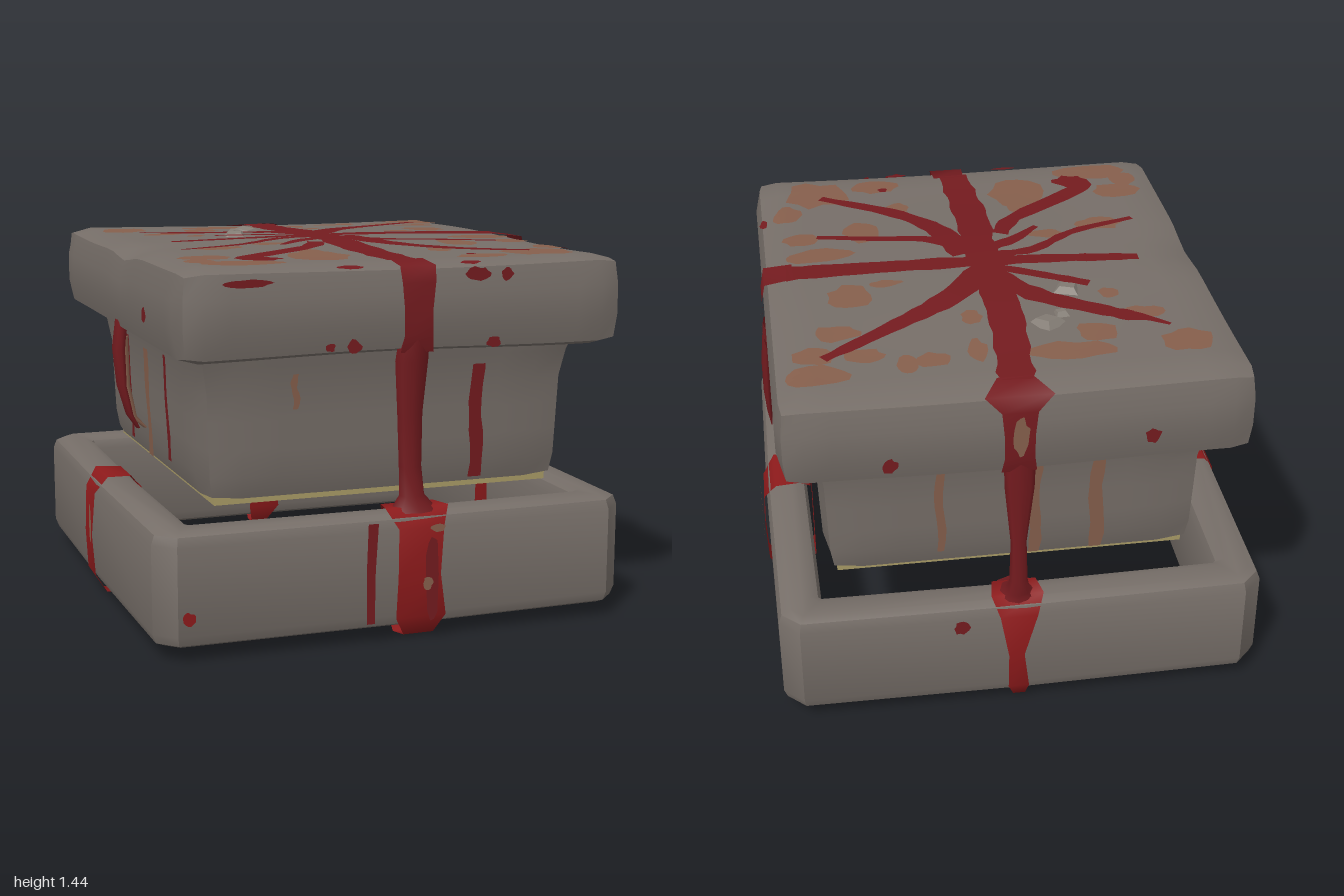
import * as THREE from 'three';
import { mergeVertices, toCreasedNormals } from 'three/addons/utils/BufferGeometryUtils.js';

const mat = (name, color, side = THREE.FrontSide) => {
  const m = new THREE.MeshStandardMaterial({ color, side });
  m.name = name;
  return m;
};

export function createModel() {
  const root = new THREE.Group();
  root.name = 'stoneShrine';
  const stone = mat('grey stone', 0x766e68);
  const chip = mat('pale chipped stone', 0x857e76, THREE.DoubleSide);
  const red = mat('dark red', 0x741b1f, THREE.DoubleSide);
  const bright = mat('bright red', 0x8d1a1b, THREE.DoubleSide);
  const rust = mat('rust', 0x865f4c, THREE.DoubleSide);
  const olive = mat('olive underside', 0xa89a66);

  let seed = 7;
  const rnd = () => (seed = (seed * 16807) % 2147483647) / 2147483647;
  const add = (name, geo, material) => {
    const m = new THREE.Mesh(geo, material);
    m.name = name;
    root.add(m);
    return m;
  };

  // Box with softened edges, then bent by a rule
  function softBlock(size, centre, seg, r, bend) {
    let g = new THREE.BoxGeometry(...size, ...seg);
    g.deleteAttribute('uv');
    g.deleteAttribute('normal');
    g = mergeVertices(g);
    const p = g.attributes.position, v = new THREE.Vector3(), c = new THREE.Vector3();
    const inner = new THREE.Vector3(...size).multiplyScalar(0.5).subScalar(r);
    for (let i = 0; i < p.count; i++) {
      v.fromBufferAttribute(p, i);
      c.copy(v).clamp(inner.clone().negate(), inner);
      v.sub(c);
      if (v.length() > 0) v.setLength(r);
      v.add(c).add(new THREE.Vector3(...centre));
      bend(v);
      p.setXYZ(i, v.x, v.y, v.z);
    }
    return toCreasedNormals(g, 0.8);
  }

  // Worn surface of the lid
  const wear = (x, z) => 0.007 * Math.sin(3 * x + 1) * Math.cos(2.5 * z)
    + 0.006 * Math.cos(4 * z + x)
    - 0.03 * Math.exp(-((x + 0.85) ** 2 + (z - 0.1) ** 2) / 0.02);
  const topY = (x, z) => 1.42 + wear(x, z)
    - 0.24 * Math.max(0, Math.abs(x - 0.025) - 0.775, Math.abs(z) - 0.885);
  add('lid', softBlock([1.74, 0.34, 1.96], [0.025, 1.245, 0], [18, 3, 20], 0.07, v => {
    const t = (v.y - 1.075) / 0.34;
    v.y += wear(v.x, v.z) * t + 0.006 * Math.sin(4 * v.x + 2 * v.z) * (1 - t);
  }), stone);

  // Middle block, widening a little upwards
  add('middleBlock', softBlock([1.43, 0.62, 1.53], [0.02, 0.83, 0.015], [10, 6, 10], 0.07, v => {
    const k = 1 + 0.03 * (v.y - 0.52) / 0.58 + 0.08 * Math.max(0, (v.y - 1.0) / 0.14);
    v.x = 0.02 + (v.x - 0.02) * k;
    v.z = 0.015 + (v.z - 0.015) * k;
  }), stone);
  const under = add('blockUnderside', new THREE.BoxGeometry(1.35, 0.03, 1.45), olive);
  under.position.set(0.02, 0.531, 0.015);

  // Open base ring
  const outline = (s, w, d, c) => {
    const pts = [[w - c, -d], [w, -d + c], [w + 0.01, 0], [w, d - c], [w - c, d], [0, d + 0.01],
      [-w + c, d], [-w, d - c], [-w - 0.01, 0], [-w, -d + c], [-w + c, -d], [0, -d - 0.01]];
    return s.setFromPoints(pts.map(q => new THREE.Vector2(...q)));
  };
  const ringShape = outline(new THREE.Shape(), 0.89, 0.925, 0.05);
  ringShape.holes.push(outline(new THREE.Path(), 0.81, 0.845, 0.03));
  const ringGeo = new THREE.ExtrudeGeometry(ringShape,
    { depth: 0.33, bevelThickness: 0.05, bevelSize: 0.045, bevelSegments: 2 });
  ringGeo.rotateX(-Math.PI / 2).translate(0, 0.1, 0);
  add('baseRing', toCreasedNormals(ringGeo, 0.7), stone);

  // Sides: offset along the face, height, distance outwards
  const sides = {
    front: (o, y, d) => new THREE.Vector3(o, y, d),
    left: (o, y, d) => new THREE.Vector3(d, y, -o),
    back: (o, y, d) => new THREE.Vector3(-o, y, -d),
    right: (o, y, d) => new THREE.Vector3(-d, y, o),
  };
  const lidOut = { front: 0.98, left: 0.895, back: 0.98, right: 0.845 };
  const ringOut = { front: 0.98, left: 0.945, back: 0.98, right: 0.945 };
  const blockOut = { front: 0.78, left: 0.735, back: 0.75, right: 0.695 };

  function gridGeo(rows, closed) {
    const n = rows[0].length, pos = [], idx = [];
    rows.forEach(r => r.forEach(p => pos.push(p.x, p.y, p.z)));
    for (let i = 0; i < rows.length - 1; i++)
      for (let j = 0; j < (closed ? n : n - 1); j++) {
        const a = i * n + j, b = i * n + (j + 1) % n;
        idx.push(a, a + n, b, b, a + n, b + n);
      }
    const g = new THREE.BufferGeometry();
    g.setAttribute('position', new THREE.Float32BufferAttribute(pos, 3));
    g.setIndex(idx);
    g.computeVertexNormals();
    return g;
  }

  // Stain running over a side: rows of [offset, y, out, width]
  const sideStain = (name, side, pts, material) => add(name, gridGeo(pts.map(([o, y, d, w]) =>
    [-0.5, 0.5].map(k => sides[side](o + k * w, y, d)))), material);

  // Ragged streak painted on the lid through [x, z] points
  function topStreak(pts, w0, w1) {
    const curve = new THREE.CatmullRomCurve3(pts.map(([x, z]) => new THREE.Vector3(x, 0, z)));
    const n = Math.max(8, Math.round(curve.getLength() / 0.05)), rows = [];
    for (let i = 0; i <= n; i++) {
      const p = curve.getPoint(i / n), t = curve.getTangent(i / n);
      const w = (w0 + (w1 - w0) * i / n) * (0.85 + 0.3 * rnd()) / 2;
      rows.push([-w, w].map(k => {
        const x = p.x - t.z * k, z = p.z + t.x * k;
        return new THREE.Vector3(x, topY(x, z) + 0.003, z);
      }));
    }
    add('lidStreak', gridGeo(rows), red);
  }
  topStreak([[0.03, -0.88], [0.0, -0.4], [0.02, 0], [0.01, 0.4], [0.03, 0.88]], 0.13, 0.13);
  topStreak([[-0.6, -0.02], [-0.2, 0], [0.3, 0.01], [0.8, 0.03]], 0.05, 0.12);
  topStreak([[0.03, -0.08], [0.2, -0.28], [0.45, -0.47], [0.7, -0.65]], 0.13, 0.04);
  topStreak([[0, -0.1], [-0.13, -0.28], [-0.35, -0.42], [-0.47, -0.49]], 0.11, 0.07);
  topStreak([[-0.45, -0.48], [-0.52, -0.51], [-0.6, -0.57]], 0.07, 0.02);
  topStreak([[0, -0.04], [-0.2, -0.14], [-0.36, -0.22]], 0.05, 0.05);
  topStreak([[0, 0.06], [-0.18, 0.08], [-0.38, 0.23], [-0.65, 0.33]], 0.06, 0.03);
  topStreak([[0, 0.12], [-0.12, 0.18], [-0.24, 0.3]], 0.08, 0.03);
  topStreak([[-0.08, 0.25], [-0.15, 0.38], [-0.42, 0.6], [-0.52, 0.7], [-0.42, 0.77]], 0.07, 0.08);
  topStreak([[0.08, 0.08], [0.17, 0.33], [0.32, 0.52], [0.62, 0.72]], 0.12, 0.04);
  topStreak([[0.06, 0.1], [0.2, 0.23], [0.42, 0.28], [0.66, 0.34]], 0.07, 0.03);

  // Ragged flat patch placed by a mapping from (u, v)
  function blob(name, u, v, a, b, map, material) {
    const n = 14, ring = [];
    for (let i = 0; i < n; i++) {
      const t = i / n * Math.PI * 2, k = 0.8 + 0.35 * rnd();
      ring.push([u + Math.cos(t) * a * k, v + Math.sin(t) * b * k]);
    }
    add(name, gridGeo([0, 0.5, 1].map(s => ring.map(([p, q]) => map(u + (p - u) * s, v + (q - v) * s))), true), material);
  }
  const onTop = (x, z) => new THREE.Vector3(x, topY(x, z), z);
  [[-0.64, -0.69, 0.1, 0.09], [-0.2, -0.71, 0.16, 0.07], [-0.32, -0.58, 0.08, 0.07], [0.14, -0.66, 0.04, 0.08],
    [0.3, -0.7, 0.07, 0.05], [0.4, -0.72, 0.04, 0.06], [0.73, -0.76, 0.11, 0.07], [0.55, -0.64, 0.07, 0.05],
    [0.73, -0.62, 0.08, 0.06], [0.64, -0.47, 0.09, 0.06], [0.57, -0.2, 0.09, 0.09], [0.3, -0.36, 0.05, 0.04],
    [0.13, -0.42, 0.04, 0.05], [0.42, -0.12, 0.06, 0.03], [0.66, 0.17, 0.15, 0.07], [0.48, 0.36, 0.07, 0.1],
    [0.72, 0.33, 0.08, 0.06], [0.64, 0.76, 0.14, 0.12], [0.77, 0.58, 0.06, 0.08], [0.38, 0.81, 0.1, 0.06],
    [0.3, 0.58, 0.05, 0.05], [-0.22, 0.66, 0.12, 0.15], [-0.2, 0.5, 0.05, 0.06], [-0.58, 0.82, 0.17, 0.08],
    [-0.65, 0.62, 0.11, 0.07], [-0.5, 0.3, 0.09, 0.06], [-0.27, 0.23, 0.07, 0.04], [-0.52, -0.46, 0.08, 0.05],
    [-0.42, -0.3, 0.04, 0.04], [-0.7, 0.73, 0.06, 0.07],
  ].forEach(q => blob('rustPatch', ...q, onTop, rust));
  [[-0.2, 0.95, 0.05, 0.02], [0.27, 0.94, 0.04, 0.02], [-0.46, 0.73, 0.07, 0.06], [0.35, 0.77, 0.02, 0.02],
    [0.87, 0.53, 0.015, 0.04]]
    .forEach(q => blob('lidSpot', ...q, (x, z) => onTop(x, z).setY(topY(x, z) + 0.004), red));

  // Loose chips broken from the lid
  [[-0.27, -0.24, 0.07], [-0.15, -0.48, 0.08], [-0.21, -0.43, 0.04]].forEach(([x, z, r], i) => {
    const c = add('stoneChip', toCreasedNormals(new THREE.CylinderGeometry(r * 0.55, r, 0.025, 4), 0.3), chip);
    c.position.set(x, topY(x, z) - 0.002, z);
    c.rotation.set(0.08, 0.5 + i, 0.1);
  });

  // Stains over the lid edge: [side, offset, edge width, side width]
  [['front', 0.05, 0.14, 0.13], ['left', -0.04, 0.15, 0.13], ['back', -0.035, 0.25, 0.13]]
    .forEach(([side, o, we, w]) => {
      const L = lidOut[side], start = sides[side](o, 0, L - 0.12), y = topY(start.x, start.z) + 0.004;
      sideStain('lidEdgeStain', side, [[o, y, L - 0.12, 0.13], [o, y - 0.014, L - 0.008, we],
        [o, 1.34, L + 0.007, w], [o, 1.24, L + 0.007, w * 0.85], [o, 1.15, L + 0.008, w * 0.85],
        [o, 1.085, L - 0.008, w]], red);
    });
  blob('lidRust', 0.04, 1.2, 0.025, 0.08, (u, y) => sides.left(u - 0.06, y, lidOut.left + 0.015), rust);
  blob('lidRust', -0.03, 1.24, 0.03, 0.08, (u, y) => sides.back(u, y, lidOut.back + 0.015), rust);

  // Stains wrapped round the base ring: [side, offset, top, middle, bottom width]
  [['front', 0.07, 0.25, 0.17, 0.2], ['left', -0.04, 0.24, 0.1, 0.11], ['back', -0.03, 0.2, 0.06, 0.08],
    ['right', -0.03, 0.22, 0.12, 0.14]].forEach(([side, o, t, m, b]) => {
    const R = ringOut[side];
    sideStain('ringStain', side, [[o, 0.44, R - 0.185, m], [o, 0.495, R - 0.14, t * 0.85],
      [o, 0.5, R - 0.04, t], [o, 0.43, R + 0.008, t * 0.72], [o - 0.01, 0.25, R + 0.017, m],
      [o, 0.09, R + 0.009, b], [o + 0.01, 0.01, R - 0.04, b * 0.6], [o + 0.01, 0, R - 0.12, b * 0.7],
      [o, 0.1, R - 0.19, 0.14], [o, 0.44, R - 0.19, m]], bright);
  });
  const onRing = (side, d) => (u, y) => sides[side](u, y, ringOut[side] + d);
  blob('ringDarkStain', 0.11, 0.25, 0.03, 0.17, onRing('front', 0.02), red);
  [['front', 0.13, 0.43, 0.03, 0.015], ['front', 0.09, 0.22, 0.02, 0.025], ['left', -0.06, 0.36, 0.022, 0.07],
    ['left', -0.02, 0.22, 0.015, 0.04], ['right', 0.02, 0.3, 0.02, 0.08]]
    .forEach(([s, ...q]) => blob('ringRust', ...q, onRing(s, 0.024), rust));

  // Hanging drips: [offset, y, out, width, depth]
  const drip = (side, pts, material = red) => add('hangingDrip', gridGeo(pts.map(([o, y, d, w, t]) =>
    Array.from({ length: 8 }, (_, i) => {
      const a = i * Math.PI / 4;
      return sides[side](o + Math.cos(a) * w / 2, y, d + Math.sin(a) * t / 2);
    })), true), material);
  drip('front', [[0.05, 1.16, 0.95, 0.12, 0.07], [0.04, 1.05, 0.945, 0.13, 0.07], [0.045, 0.85, 0.92, 0.1, 0.06],
    [0.05, 0.65, 0.915, 0.09, 0.06], [0.06, 0.54, 0.91, 0.1, 0.08], [0.07, 0.48, 0.9, 0.19, 0.14]]);
  drip('back', [[-0.03, 1.16, 0.95, 0.12, 0.06], [-0.03, 1.0, 0.955, 0.11, 0.05], [-0.03, 0.75, 0.945, 0.06, 0.03],
    [-0.03, 0.58, 0.95, 0.07, 0.05], [-0.03, 0.51, 0.92, 0.1, 0.09], [-0.03, 0.48, 0.88, 0.17, 0.18]]);
  drip('back', [[-0.03, 1.05, 0.935, 0.09, 0.04], [-0.03, 0.9, 0.935, 0.08, 0.04],
    [-0.03, 0.72, 0.94, 0.04, 0.02]], rust);
  drip('left', [[-0.06, 1.2, 0.89, 0.11, 0.03], [-0.07, 1.02, 0.905, 0.12, 0.035], [-0.07, 0.88, 0.908, 0.1, 0.03],
    [-0.07, 0.78, 0.905, 0.06, 0.02], [-0.07, 0.71, 0.9, 0.005, 0.005]]);
  drip('right', [[-0.03, 1.12, 0.81, 0.1, 0.05], [-0.03, 1.0, 0.825, 0.11, 0.05], [-0.03, 0.85, 0.815, 0.09, 0.04],
    [-0.03, 0.73, 0.785, 0.06, 0.03], [-0.03, 0.67, 0.75, 0.02, 0.015]]);
  drip('right', [[-0.03, 1.05, 0.805, 0.08, 0.04], [-0.03, 0.85, 0.8, 0.07, 0.04], [-0.03, 0.72, 0.77, 0.04, 0.03],
    [-0.03, 0.67, 0.72, 0.02, 0.015]], rust);

  // Streaks down the middle block: [side, offset, bottom, top, width, material]
  [['front', 0.37, 0.56, 1.04, 0.055, red], ['front', -0.36, 0.87, 1.03, 0.025, rust],
    ['left', -0.34, 0.58, 1.03, 0.045, red], ['left', 0.35, 0.58, 1.03, 0.045, red], ['left', 0, 0.56, 1.0, 0.035, red],
    ['back', -0.3, 0.6, 1.03, 0.03, rust], ['back', 0.3, 0.56, 1.03, 0.05, rust], ['back', 0.06, 0.56, 1.0, 0.05, rust],
    ['right', -0.3, 0.58, 1.03, 0.04, red], ['right', 0.3, 0.6, 1.03, 0.04, red], ['right', 0, 0.56, 1.0, 0.06, rust],
  ].forEach(([side, o, y0, y1, w, m]) => {
    const rows = [];
    for (let i = 0; i <= 8; i++) {
      const y = y0 + (y1 - y0) * i / 8;
      rows.push([o + 0.007 * Math.sin(i), y, blockOut[side] + 0.026 * (y - 0.52) / 0.58 + 0.007 + 0.02 * Math.max(0, y - 0.95),
        w * (0.8 + 0.4 * rnd())]);
    }
    sideStain('blockStreak', side, rows, m);
  });

  // Spots on the lid sides and the ring: [side, offset, y, half width, half height]
  [['front', -0.6, 1.36, 0.09, 0.015], ['front', -0.2, 1.12, 0.03, 0.025], ['front', -0.29, 1.12, 0.02, 0.015],
    ['front', 0.28, 1.365, 0.05, 0.025], ['front', 0.4, 1.36, 0.025, 0.025], ['front', 0.35, 1.11, 0.03, 0.02],
    ['left', -0.58, 1.16, 0.06, 0.04], ['left', -0.55, 1.36, 0.03, 0.02], ['left', 0.2, 1.36, 0.04, 0.025],
    ['back', -0.5, 1.16, 0.03, 0.03], ['back', 0.45, 1.2, 0.03, 0.03], ['right', 0.5, 1.2, 0.03, 0.03],
  ].forEach(([s, ...q]) => blob('lidSideSpot', ...q, (u, y) => sides[s](u, y, lidOut[s] + 0.005), red));
  blob('ringSpot', -0.82, 0.17, 0.025, 0.025, onRing('front', 0.003), bright);
  blob('ringSpot', -0.25, 0.4, 0.03, 0.03, onRing('back', 0.008), red);
  sideStain('ringStreak', 'front', [[-0.12, 0.46, 0.985, 0.04], [-0.13, 0.28, 0.988, 0.035],
    [-0.13, 0.08, 0.988, 0.03]], red);

  return root;
}
